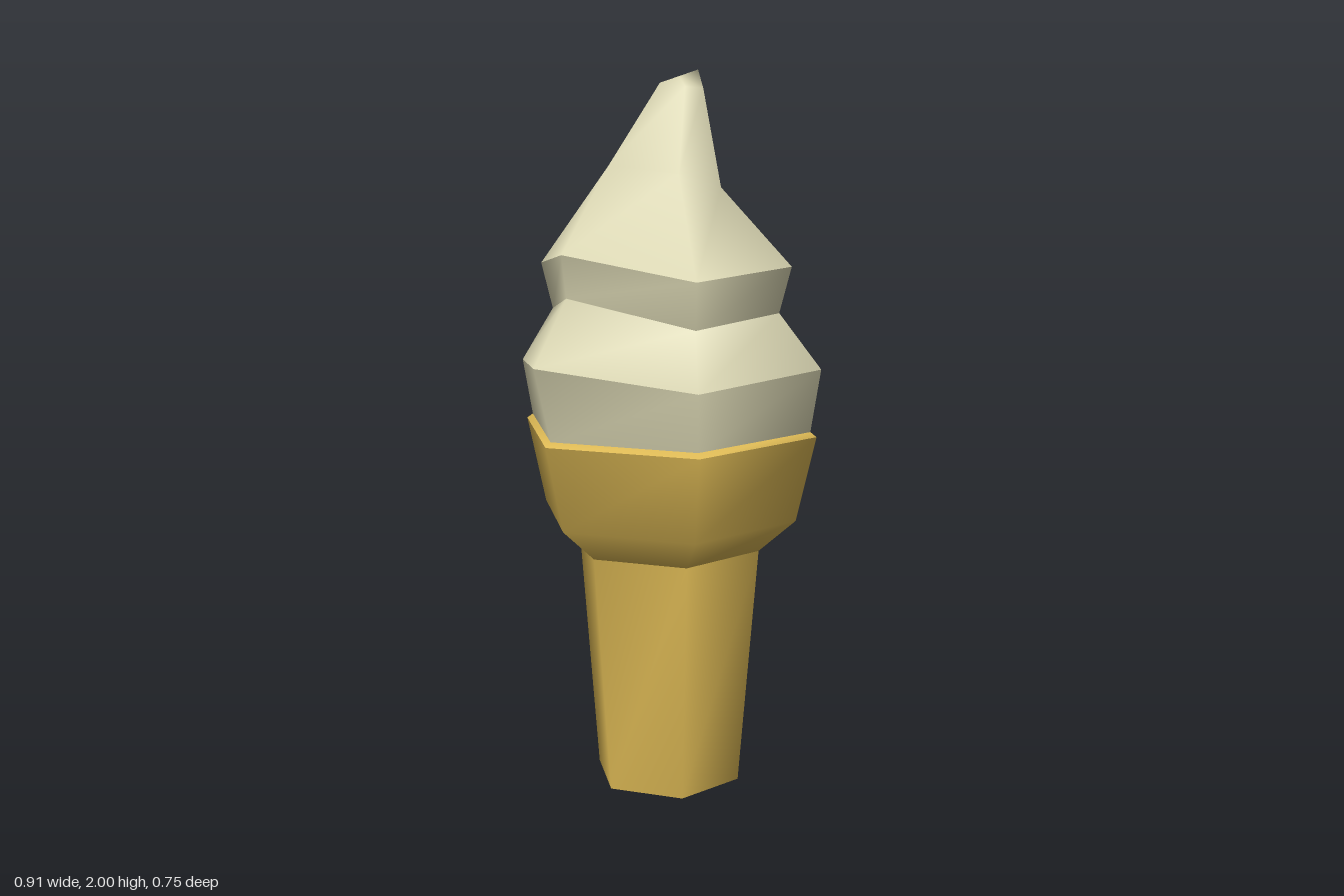
import * as THREE from 'three';

const SIDES = 6;
const cream = new THREE.MeshStandardMaterial({ color: 0xdedab6 });
cream.name = 'cream';
const wafer = new THREE.MeshStandardMaterial({ color: 0xdeba55 });
wafer.name = 'wafer';

// Regular six-sided ring of the cone
function hexRing(r, y) {
  return Array.from({ length: SIDES }, (_, k) => {
    const a = (k * Math.PI * 2) / SIDES;
    return [0.008 + r * Math.cos(a), y, r * Math.sin(a)];
  });
}

// Uneven ring of the swirl, mirrored in z: corners given as [x, y] from +x to -x
function swirlRing(right, midRight, midLeft, left, z) {
  return [
    [...right, 0], [...midRight, z], [...midLeft, z],
    [...left, 0], [...midLeft, -z], [...midRight, -z],
  ];
}

// Smooth skin over rings from bottom to top, with an optional closing point
function loft(name, material, rings, { top, bottom } = {}) {
  const points = rings.flat();
  const index = [];
  for (let i = 0; i < rings.length - 1; i++) {
    for (let k = 0; k < SIDES; k++) {
      const a = i * SIDES + k;
      const b = i * SIDES + ((k + 1) % SIDES);
      index.push(a, a + SIDES, b, b, a + SIDES, b + SIDES);
    }
  }
  const end = top || bottom;
  if (end) {
    const c = points.push(end) - 1;
    const base = top ? (rings.length - 1) * SIDES : 0;
    for (let k = 0; k < SIDES; k++) {
      const a = base + k;
      const b = base + ((k + 1) % SIDES);
      if (top) index.push(c, b, a);
      else index.push(c, a, b);
    }
  }
  const geometry = new THREE.BufferGeometry();
  geometry.setAttribute('position', new THREE.Float32BufferAttribute(points.flat(), 3));
  geometry.setIndex(index);
  geometry.computeVertexNormals();
  const mesh = new THREE.Mesh(geometry, material);
  mesh.name = name;
  return mesh;
}

export function createModel() {
  const model = new THREE.Group();
  model.name = 'iceCreamCone';

  // Wafer cone: stem, flared cup and thin rim
  const foot = hexRing(0.213, 0);
  const neck = hexRing(0.268, 0.685);
  const lip = hexRing(0.428, 1.02);
  const cone = new THREE.Group();
  cone.name = 'cone';
  cone.add(
    loft('coneBase', wafer, [foot], { bottom: [0.008, 0, 0] }),
    loft('coneStem', wafer, [foot, neck]),
    loft('coneCup', wafer, [neck, hexRing(0.373, 0.78), lip]),
    loft('coneRim', wafer, [lip, hexRing(0.405, 1.037), hexRing(0.36, 1.037)]),
  );

  // Soft ice cream: two bulging layers and a bent peak, creased between bands
  const base = hexRing(0.41, 1.03);
  const lowerEdge = swirlRing([0.455, 1.2], [0.23, 1.206], [-0.215, 1.19], [-0.455, 1.235], 0.376);
  const waist = swirlRing([0.32, 1.335], [0.14, 1.36], [-0.16, 1.34], [-0.345, 1.41], 0.303);
  const upperEdge = swirlRing([0.355, 1.47], [0.16, 1.485], [-0.18, 1.468], [-0.36, 1.525], 0.328);
  const shoulder = swirlRing([0.16, 1.66], [0.07, 1.69], [-0.08, 1.73], [-0.2, 1.75], 0.146);
  const tip = swirlRing([0.117, 2], [0.085, 1.95], [0.02, 1.955], [-0.02, 1.965], 0.057);
  const swirl = new THREE.Group();
  swirl.name = 'swirl';
  swirl.add(
    loft('lowerBand', cream, [base, lowerEdge]),
    loft('lowerSlope', cream, [lowerEdge, waist]),
    loft('upperBand', cream, [waist, upperEdge]),
    loft('peak', cream, [upperEdge, shoulder, tip], { top: [0.048, 1.982, 0] }),
  );

  model.add(cone, swirl);
  return model;
}
